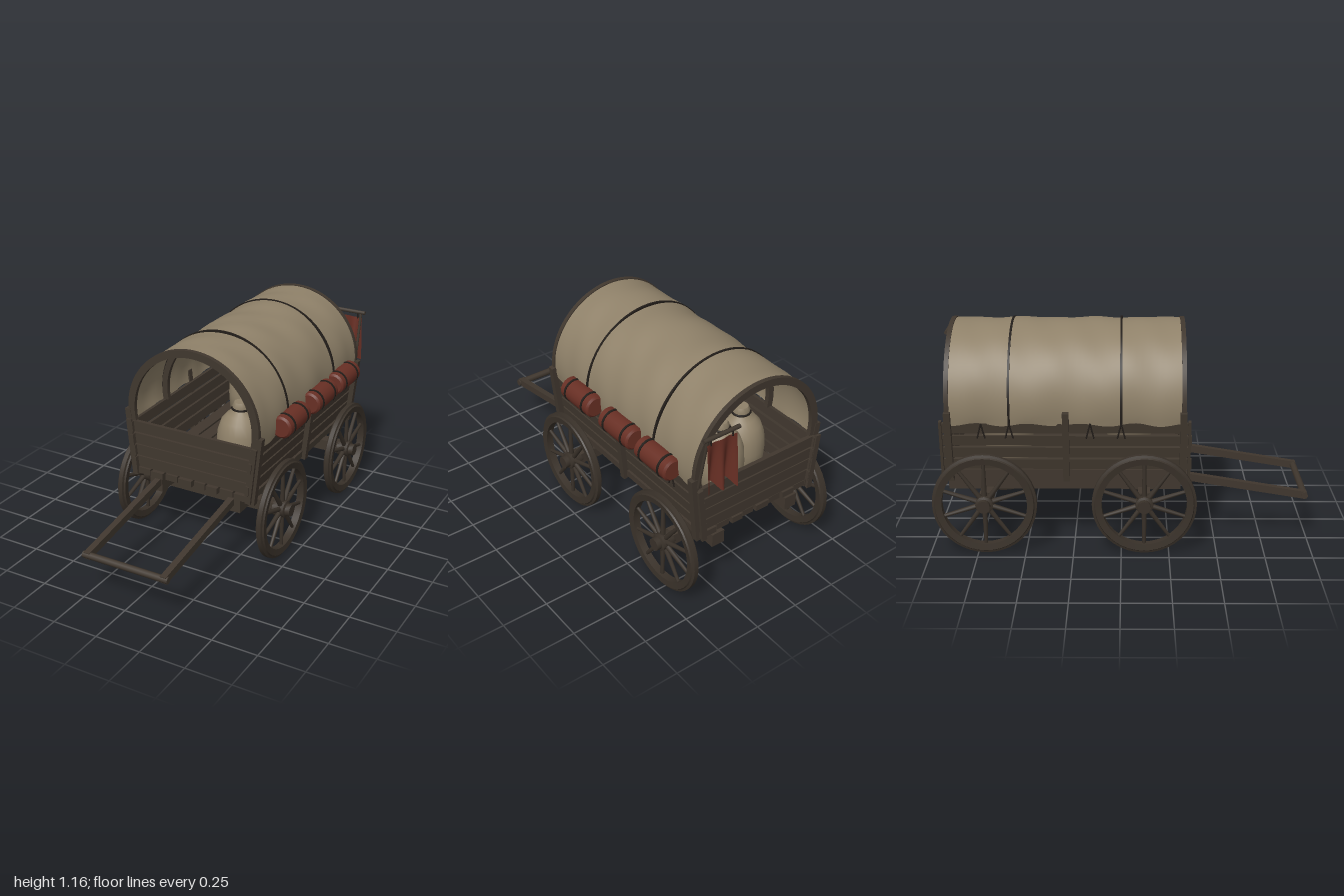
import * as THREE from 'three';
import { toCreasedNormals } from 'three/addons/utils/BufferGeometryUtils.js';

const mat = (name, color) => {
  const m = new THREE.MeshStandardMaterial({ color });
  m.name = name;
  return m;
};

export function createModel() {
  const wood = mat('dark wood', 0x40372e);
  const wheelWood = mat('wheel wood', 0x393129);
  const cord = mat('cord and iron', 0x221d19);
  const canvas = mat('canvas', 0x8f8169);
  const red = mat('red cloth', 0x682f24);
  const redSheet = mat('red banner cloth', 0x682f24);
  canvas.side = redSheet.side = THREE.DoubleSide;

  const model = new THREE.Group();
  model.name = 'coveredWagon';

  const add = (name, geo, material, x = 0, y = 0, z = 0, parent = model) => {
    const m = new THREE.Mesh(geo, material);
    m.name = name;
    m.position.set(x, y, z);
    parent.add(m);
    return m;
  };
  const box = (name, w, h, d, x, y, z, material = wood, parent = model) =>
    add(name, new THREE.BoxGeometry(w, h, d), material, x, y, z, parent);
  const rod = (name, a, b, r, material) => {
    const p = new THREE.Vector3(...a), q = new THREE.Vector3(...b), d = q.clone().sub(p);
    const m = add(name, new THREE.CylinderGeometry(r, r, d.length(), 8), material);
    m.position.copy(p).add(q).multiplyScalar(0.5);
    m.quaternion.setFromUnitVectors(new THREE.Vector3(0, 1, 0), d.normalize());
    return m;
  };

  // Wagon bed: floor planks, then four slatted boards on each wall
  const plankEdges = [-0.34, -0.255, -0.17, -0.086, 0.007, 0.085, 0.163, 0.252, 0.36];
  for (let i = 0; i < 8; i++) {
    const a = plankEdges[i], b = plankEdges[i + 1];
    box('floorPlank', b - a - 0.012, 0.035, 1.25 + 0.02 * (i % 2), (a + b) / 2, 0.41, -0.285);
  }
  const lean = 0.105;
  const wallX = y => 0.347 + (y - 0.38) * lean;
  [0.467, 0.534, 0.6, 0.67].forEach((y, i) => {
    for (const z of [0.33, -0.905])
      box('endBoard', 2 * wallX(y) - 0.04, 0.06, 0.022, 0, y, z);
    for (const s of [-1, 1]) {
      const b = box('sideBoard', 0.02, 0.055, 1.3 - 0.012 * (i % 2), s * (wallX(y) - 0.014), y, -0.285);
      b.rotation.z = -s * Math.atan(lean);
    }
  });
  for (const s of [-1, 1])
    for (const z of [0.32, -0.285, -0.89]) {
      const p = box('sidePost', 0.034, 0.385, 0.034, s * (wallX(0.57) + 0.008), 0.57, z);
      p.rotation.z = -s * Math.atan(lean);
    }
  for (const z of [0.352, -0.93])
    for (const s of [-1, 1]) {
      const p = box('cornerBatten', 0.03, 0.32, 0.014, s * (wallX(0.56) - 0.005), 0.55, z);
      p.rotation.z = -s * Math.atan(lean);
    }

  // Undercarriage
  for (const s of [-1, 1]) {
    box('chassisBeam', 0.075, 0.075, 1.23, s * 0.24, 0.335, -0.3);
    const shaft = box('drawShaft', 0.034, 0.04, 0.79, s * 0.225, 0.31, 0.6);
    shaft.rotation.x = Math.atan(0.165);
  }
  rod('drawCrossbar', [-0.25, 0.247, 0.98], [0.25, 0.247, 0.98], 0.019, wood);

  // Wheels and axles
  const rimProfile = [[0.222, -0.02], [0.256, -0.024], [0.261, -0.016], [0.273, -0.012],
    [0.273, 0.012], [0.261, 0.016], [0.256, 0.024], [0.222, 0.02], [0.222, -0.02]];
  const rimGeo = toCreasedNormals(
    new THREE.LatheGeometry(rimProfile.map(p => new THREE.Vector2(...p)), 40), 0.5);
  const hubProfile = [[0, -0.055], [0.035, -0.055], [0.035, -0.045], [0.047, -0.04], [0.047, 0.025],
    [0.034, 0.03], [0.034, 0.057], [0, 0.057]];
  const hubGeo = toCreasedNormals(
    new THREE.LatheGeometry(hubProfile.map(p => new THREE.Vector2(...p)), 12), 0.6);
  const spokeGeo = new THREE.CylinderGeometry(0.009, 0.014, 0.2, 8);
  const makeWheel = (s, z) => {
    const w = new THREE.Group();
    w.name = 'wheel';
    add('rim', rimGeo, wheelWood, 0, 0, 0, w);
    add('hub', hubGeo, wheelWood, 0, 0, 0, w);
    for (let i = 0; i < 10; i++) {
      const a = (i / 10) * Math.PI * 2;
      const sp = add('spoke', spokeGeo, wheelWood, Math.cos(a) * 0.132, 0, Math.sin(a) * 0.132, w);
      sp.rotation.set(Math.PI / 2, 0, Math.PI / 2 - a - Math.PI, 'XYZ');
      sp.quaternion.setFromUnitVectors(new THREE.Vector3(0, 1, 0),
        new THREE.Vector3(Math.cos(a), 0, Math.sin(a)));
    }
    w.rotation.z = -s * Math.PI / 2;
    w.position.set(s * 0.428, 0.275, z);
    model.add(w);
  };
  for (const z of [0.12, -0.71]) {
    box('axle', 0.8, 0.062, 0.065, 0, 0.277, z);
    for (const s of [-1, 1]) makeWheel(s, z);
  }

  // Hoops and cover share one arch
  const archY = 0.768, dip = 0.2;
  const hoop = (name, outer, inner, depth, z, material) => {
    const sh = new THREE.Shape();
    sh.absarc(0, 0, outer, -dip, Math.PI + dip, false);
    sh.absarc(0, 0, inner, Math.PI + dip, -dip, true);
    const g = new THREE.ExtrudeGeometry(sh, { depth, bevelEnabled: false, curveSegments: 28 });
    add(name, toCreasedNormals(g, 0.5), material, 0, archY, z - depth / 2);
  };
  for (const z of [0.322, -0.892]) hoop('endHoop', 0.392, 0.352, 0.024, z, wood);
  for (const z of [0, -0.575]) {
    hoop('innerHoop', 0.381, 0.348, 0.026, z, wood);
    hoop('coverRope', 0.394, 0.382, 0.011, z, cord);
  }

  const cover = new THREE.PlaneGeometry(1, 1, 48, 40);
  const cp = cover.attributes.position;
  for (let i = 0; i < cp.count; i++) {
    const u = cp.getX(i) + 0.5, v = cp.getY(i) + 0.5;
    const z = 0.32 - 1.21 * v;
    const a = -dip + u * (Math.PI + 2 * dip);
    const edge = Math.min(1, Math.min(v, 1 - v) * 10);
    const r = 0.387 + edge * (0.003 * Math.sin(z * 17 + a * 3) + 0.002 * Math.sin(z * 31 - a * 5));
    const hem = Math.abs(u - 0.5) > 0.499 ? 0.008 * Math.sin(z * 23) : 0;
    cp.setXYZ(i, Math.cos(a) * r, archY + Math.sin(a) * r + hem, z);
  }
  cover.computeVertexNormals();
  add('canvasCover', cover, canvas);

  // Cords tying the cover to the sides
  for (const s of [-1, 1])
    for (const z of [0, -0.16, -0.575, -0.72])
      for (const d of [-0.02, 0.02])
        rod('tieCord', [s * 0.388, 0.7, z], [s * 0.386, 0.62, z + d], 0.004, cord);

  // Bedrolls strapped along the left side
  const rollProfile = [[0, -0.125], [0.05, -0.125], [0.061, -0.115], [0.063, 0],
    [0.061, 0.115], [0.05, 0.125], [0, 0.125]].map(p => new THREE.Vector2(...p));
  const rollGeo = toCreasedNormals(new THREE.LatheGeometry(rollProfile, 20), 0.6);
  for (const z of [0.008, -0.338, -0.645]) {
    const g = new THREE.Group();
    g.name = 'bedroll';
    add('roll', rollGeo, red, 0, 0, 0, g);
    for (const y of [-0.075, 0.075])
      add('strap', new THREE.CylinderGeometry(0.066, 0.066, 0.012, 20), cord, 0, y, 0, g);
    g.rotation.x = Math.PI / 2;
    g.position.set(0.412, 0.748, z);
    model.add(g);
  }

  // Tied sacks inside
  const sackProfile = [[0, 0], [0.1, 0], [0.124, 0.04], [0.13, 0.13], [0.125, 0.21], [0.105, 0.27],
    [0.075, 0.305], [0.048, 0.328], [0.044, 0.338], [0.047, 0.35], [0.036, 0.373], [0, 0.373]];
  const sackGeo = toCreasedNormals(
    new THREE.LatheGeometry(sackProfile.map(p => new THREE.Vector2(...p)), 24), 0.9);
  for (const [x, z] of [[-0.15, -0.6], [0.02, -0.64], [0.13, 0.04]]) {
    add('sack', sackGeo, canvas, x, 0.428, z);
    const t = add('sackTie', new THREE.TorusGeometry(0.047, 0.006, 6, 20), cord, x, 0.764, z);
    t.rotation.x = Math.PI / 2;
  }

  // Banner hanging from a short pole at the back
  rod('bannerPole', [0.185, 1.03, -0.967], [0.4, 1.03, -0.967], 0.011, wood);
  for (const x of [0.225, 0.355]) rod('bannerTie', [x, 1.03, -0.967], [x, 0.99, -0.967], 0.004, cord);
  rod('bannerBracket', [0.375, 0.72, -0.91], [0.375, 1.03, -0.967], 0.008, wood);
  const banner = new THREE.PlaneGeometry(1, 1, 24, 12);
  const bp = banner.attributes.position;
  for (let i = 0; i < bp.count; i++) {
    const u = bp.getX(i) + 0.5, t = 0.5 - bp.getY(i);
    const length = 0.28 + 0.02 * Math.cos(u * Math.PI * 4) - 0.03 * u;
    bp.setXYZ(i, 0.2 + 0.18 * u, 1.0 - t * length,
      -0.967 - (0.003 + 0.024 * t) * Math.cos(u * Math.PI * 4));
  }
  banner.computeVertexNormals();
  add('banner', banner, redSheet);

  return model;
}
